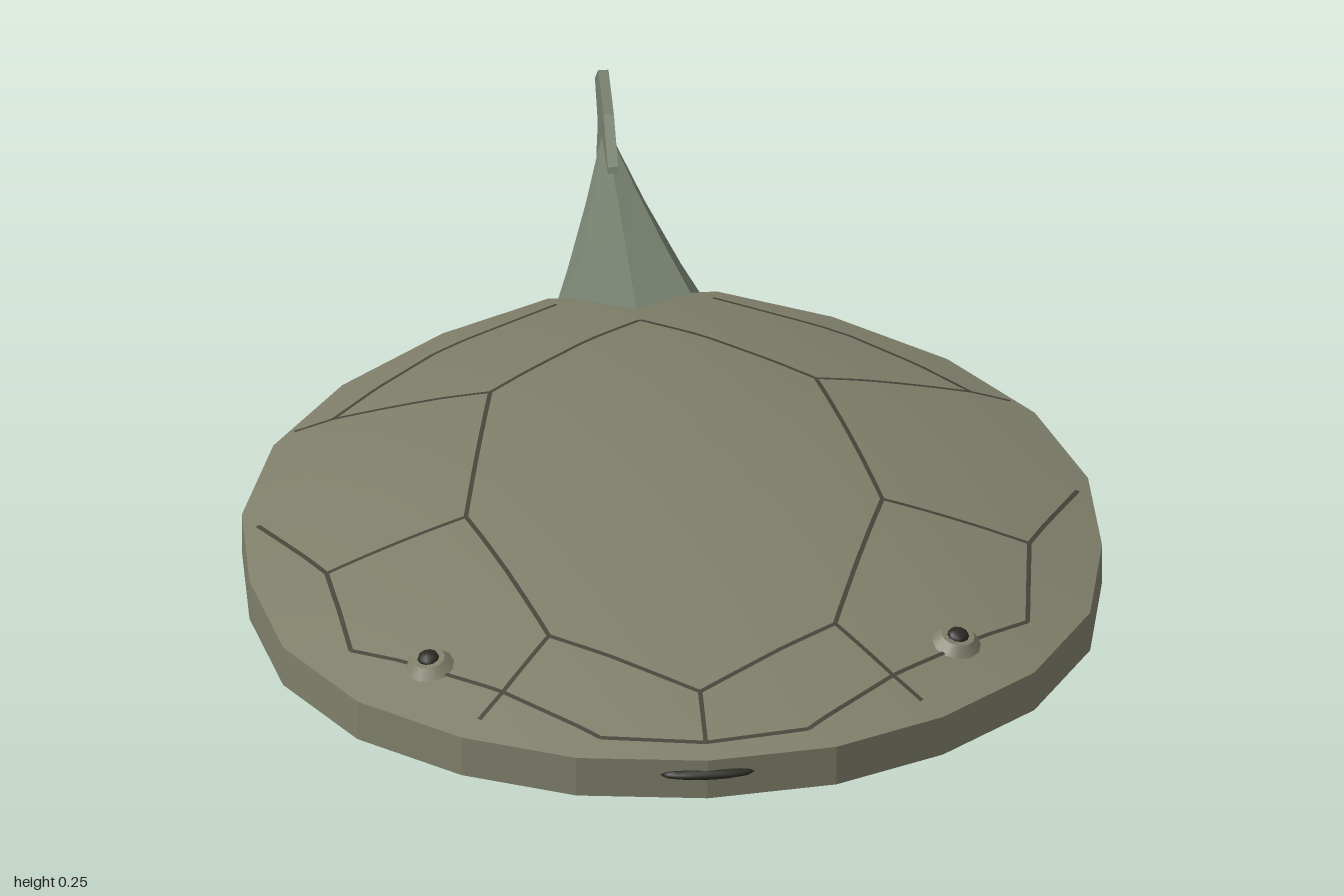
import * as THREE from 'three';
import { toCreasedNormals } from 'three/addons/utils/BufferGeometryUtils.js';

const mat = (color, extra = {}) => new THREE.MeshStandardMaterial({ color, roughness: 0.9, ...extra });
const SHELL = mat(0x7f7f6a), BELLY = mat(0x6a6150), TAIL = mat(0x76806f, { flatShading: true });
const SEAM = mat(0x45453a, { side: THREE.DoubleSide }), DARK = mat(0x2b2a24);

// Outline of the head shield seen from above, as [x, z] from the snout round one flank
const HALF = [[0, 0.99], [0.2, 0.965], [0.37, 0.89], [0.52, 0.77], [0.62, 0.6], [0.655, 0.4],
  [0.65, 0.2], [0.585, 0], [0.465, -0.17], [0.3, -0.31], [0.13, -0.4]];
const OUTLINE = [...HALF, ...HALF.slice(1).reverse().map(([x, z]) => [-x, z])];
const N = OUTLINE.length, CZ = 0.3;
const RIM_TOP = 0.147, RIM_BOTTOM = 0.08, DOME = 0.105, SAG = 0.055;
const topY = r => RIM_TOP + DOME * (1 - r * r);

function add(group, name, geometry, material) {
  const mesh = new THREE.Mesh(geometry, material);
  mesh.name = name;
  group.add(mesh);
  return mesh;
}

// Lathe whose rings are reshaped to the outline; profile = [scale, y] from bottom to top
function shell(profile) {
  const geo = new THREE.LatheGeometry(profile.map(([r, y]) => new THREE.Vector2(r, y)), N);
  const pos = geo.attributes.position;
  for (let i = 0; i < pos.count; i++) {
    const [x, z] = OUTLINE[Math.floor(i / profile.length) % N];
    const r = profile[i % profile.length][0];
    pos.setX(i, x * r);
    pos.setZ(i, CZ + (z - CZ) * r);
  }
  return toCreasedNormals(geo, 0.2);
}

// Height of the dome: r is the position between centre (0) and outline (1)
function domeY(x, z) {
  let r = 0;
  OUTLINE.forEach(([ax, az], i) => {
    const [bx, bz] = OUTLINE[(i + 1) % N];
    const nx = bz - az, nz = ax - bx;
    r = Math.max(r, (nx * x + nz * (z - CZ)) / (nx * ax + nz * (az - CZ)));
  });
  return topY(r);
}

// Thin strip laid on the dome along a polyline of [x, z]
function seam(points) {
  const p = [], w = 0.0035;
  for (let k = 0; k + 1 < points.length; k++) {
    const a = new THREE.Vector2(...points[k]), b = new THREE.Vector2(...points[k + 1]);
    const side = b.clone().sub(a).normalize().multiplyScalar(w);
    const at = (t, s) => {
      const q = a.clone().lerp(b, t);
      const x = q.x + side.y * s, z = q.y - side.x * s;
      return [x, domeY(x, z) + 0.0015, z];
    };
    const steps = 10;
    for (let i = 0; i < steps; i++) {
      const t = i / steps, u = (i + 1) / steps;
      p.push(...at(t, -1), ...at(t, 1), ...at(u, 1), ...at(t, -1), ...at(u, 1), ...at(u, -1));
    }
  }
  const geo = new THREE.BufferGeometry();
  geo.setAttribute('position', new THREE.Float32BufferAttribute(p, 3));
  geo.computeVertexNormals();
  return geo;
}

// Tapering tail: a cylinder fitted to stations of [z, half width, top, bottom]
function tailGeometry() {
  const stations = [[-0.3, 0.14, 0.17, 0.045], [-0.4, 0.125, 0.166, 0.048], [-0.55, 0.087, 0.158, 0.06],
    [-0.72, 0.045, 0.152, 0.093], [-0.9, 0.003, 0.15, 0.143]];
  const last = stations.length - 1;
  const geo = new THREE.CylinderGeometry(1, 1, 1, 8, last).rotateX(Math.PI / 2);
  const pos = geo.attributes.position;
  for (let i = 0; i < pos.count; i++) {
    const [z, w, top, bottom] = stations[Math.round((0.5 - pos.getZ(i)) * last)];
    pos.setXYZ(i, pos.getX(i) * w, (top + bottom) / 2 + pos.getY(i) * (top - bottom) / 2, z);
  }
  geo.computeVertexNormals();
  return geo;
}

// Upright forked fin in the middle plane, drawn as [z, y]
function finGeometry() {
  const pts = [[-0.73, 0.085], [-0.8, 0.035], [-0.88, 0], [-0.97, 0.06], [-0.945, 0.13], [-0.998, 0.177],
    [-0.94, 0.226], [-0.84, 0.207], [-0.76, 0.16]];
  const shape = new THREE.Shape(pts.map(([z, y]) => new THREE.Vector2(-z, y)));
  return new THREE.ExtrudeGeometry(shape, { depth: 0.016, bevelEnabled: false })
    .translate(0, 0, -0.008).rotateY(Math.PI / 2);
}

export function createModel() {
  const model = new THREE.Group();
  model.name = 'armouredFish';

  // Head shield: domed back with an upright rim, and a shallow belly
  const rings = 8, back = [[1, RIM_BOTTOM]], belly = [];
  for (let i = 0; i <= rings; i++) {
    const r = i / rings;
    back.push([1 - r, topY(1 - r)]);
    belly.push([r, RIM_BOTTOM - SAG * (1 - r * r)]);
  }
  add(model, 'backShield', shell(back), SHELL);
  add(model, 'bellyPlate', shell(belly), BELLY);

  // Seams between the armour plates, mirrored
  const seams = [
    [[0, -0.26], [0.25, -0.02], [0.32, 0.37], [0.22, 0.7], [0, 0.85]],
    [[0.25, -0.02], [0.49, -0.04], [0.55, -0.03]],
    [[0.32, 0.37], [0.54, 0.44], [0.63, 0.25]],
    [[0.49, -0.04], [0.32, -0.22], [0.12, -0.36]],
    [[0.54, 0.44], [0.52, 0.65], [0.3, 0.81], [0.16, 0.93], [0, 0.955]],
    [[0.22, 0.7], [0.3, 0.81], [0.34, 0.86]],
  ];
  const seamGroup = new THREE.Group();
  seamGroup.name = 'plateSeams';
  for (const s of [1, -1])
    for (const line of seams) add(seamGroup, 'seam', seam(line.map(([x, z]) => [x * s, z])), SEAM);
  add(seamGroup, 'snoutSeam', seam([[0, 0.85], [0, 0.955]]), SEAM);
  model.add(seamGroup);

  // Eyes: ringed sockets with a dark pupil, tilted with the dome
  for (const s of [1, -1]) {
    const eye = new THREE.Group();
    eye.name = s > 0 ? 'leftEye' : 'rightEye';
    add(eye, 'socket', new THREE.CylinderGeometry(0.026, 0.042, 0.018, 12), SHELL).position.y = 0.004;
    add(eye, 'pupil', new THREE.SphereGeometry(0.017, 10, 6).scale(1, 0.6, 1), DARK).position.y = 0.013;
    eye.position.set(0.405 * s, domeY(0.405, 0.72), 0.72);
    eye.rotation.set(0.14, 0, -0.16 * s);
    model.add(eye);
  }

  // Mouth slit in the front rim
  add(model, 'mouth', new THREE.SphereGeometry(1, 14, 8).scale(0.073, 0.009, 0.014), DARK)
    .position.set(0, 0.121, 0.983);

  add(model, 'tail', tailGeometry(), TAIL);
  add(model, 'tailFin', finGeometry(), TAIL);
  return model;
}
